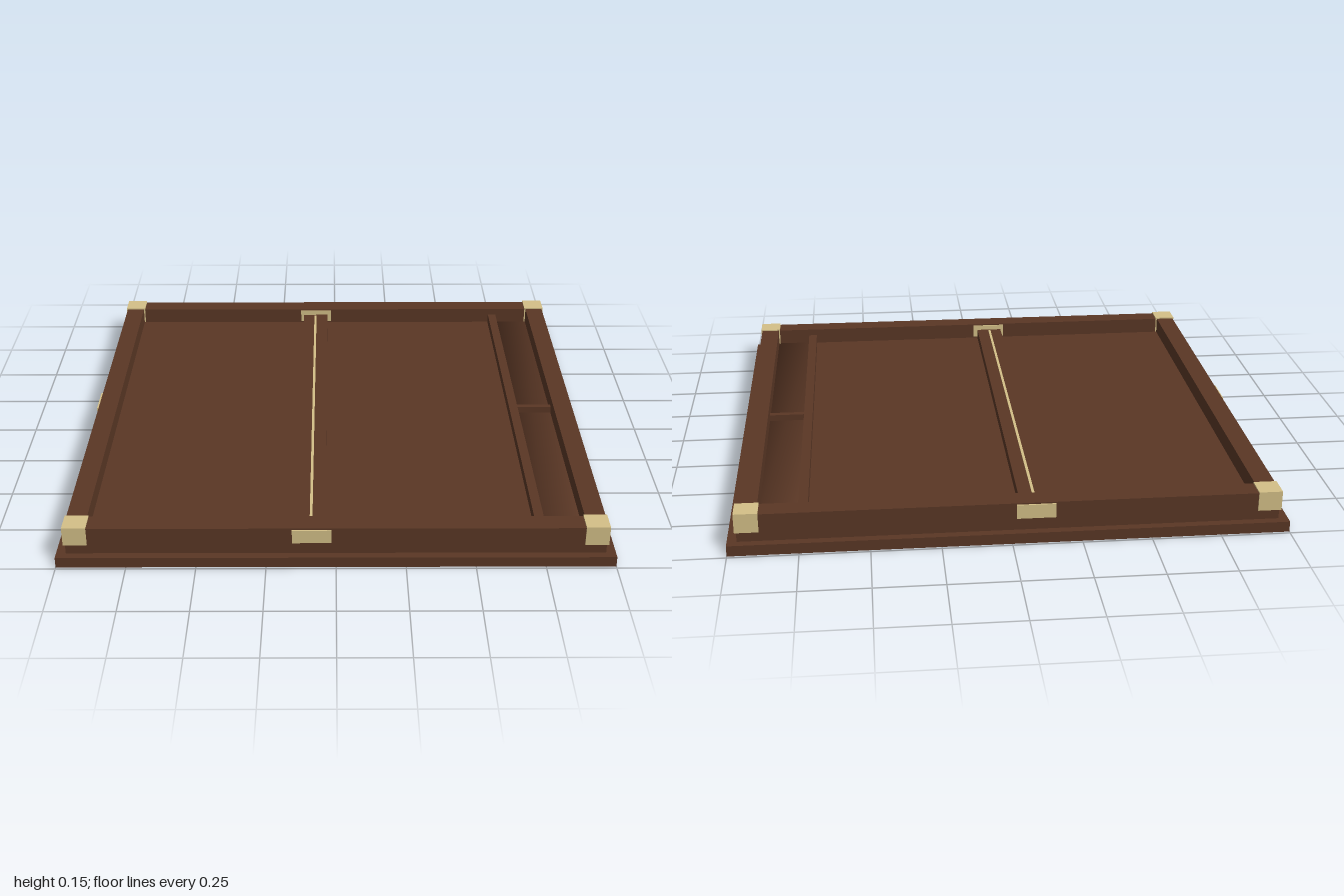
import * as THREE from 'three';

export function createModel() {
  const model = new THREE.Group();
  model.name = 'gameTray';
  const wood = new THREE.MeshStandardMaterial({ name: 'darkWood', color: 0x5a3725 });
  const brass = new THREE.MeshStandardMaterial({ name: 'paleBrass', color: 0xd4c088 });

  // Box given by its min and max along each axis
  function box(name, material, x0, x1, y0, y1, z0, z1) {
    const mesh = new THREE.Mesh(new THREE.BoxGeometry(x1 - x0, y1 - y0, z1 - z0), material);
    mesh.position.set((x0 + x1) / 2, (y0 + y1) / 2, (z0 + z1) / 2);
    mesh.name = name;
    model.add(mesh);
    return mesh;
  }

  // Stepped base; the top of the second step is the playing floor
  box('base', wood, -1, 1, 0, 0.04, -0.99, 0.99);
  box('floor', wood, -0.965, 0.965, 0.04, 0.08, -0.96, 0.96);

  for (const s of [-1, 1]) {
    // Rails
    const [zIn, zOut] = s < 0 ? [-0.962, -0.882] : [0.882, 0.962];
    const [xIn, xOut] = s < 0 ? [-0.967, -0.892] : [0.892, 0.967];
    box('crossRail', wood, -0.967, 0.967, 0.08, 0.145, zIn, zOut);
    box('sideRail', wood, xIn, xOut, 0.08, 0.145, -0.882, 0.882);

    // Brass corner caps
    for (const t of [-1, 1]) {
      const cap = box('cornerCap', brass, -0.0425, 0.0425, 0.077, 0.15, -0.0425, 0.0425);
      cap.position.x = s * 0.929;
      cap.position.z = t * 0.924;
    }

    // Hinge plates on the outer and inner face of each cross rail
    for (const z of [0.964, 0.88]) {
      box('hingePlate', brass, -0.157, -0.017, 0.087, 0.14, s * z - 0.004, s * z + 0.004);
    }
  }

  // Latch plate on one side
  box('latchPlate', brass, -0.976, -0.967, 0.085, 0.137, -0.07, 0.06);

  // Central bar with its brass inlay
  box('centreBar', wood, -0.143, -0.035, 0.08, 0.12, -0.88, 0.88);
  box('centreInlay', brass, -0.095, -0.085, 0.118, 0.123, -0.86, 0.86);

  // Storage tray: edge strip, separator and softly shaded floor
  box('trayStrip', wood, 0.717, 0.752, 0.08, 0.118, -0.88, 0.88);
  box('traySeparator', wood, 0.752, 0.892, 0.08, 0.108, -0.02, 0.004);
  const trayFloor = box('trayFloor', wood, 0.752, 0.892, 0.078, 0.083, -0.88, 0.88);
  const pos = trayFloor.geometry.attributes.position;
  const normal = trayFloor.geometry.attributes.normal;
  for (let i = 0; i < pos.count; i++) {
    const n = new THREE.Vector3(Math.sign(pos.getX(i)), Math.sign(pos.getY(i)), Math.sign(pos.getZ(i))).normalize();
    normal.setXYZ(i, n.x, n.y, n.z);
  }

  return model;
}
